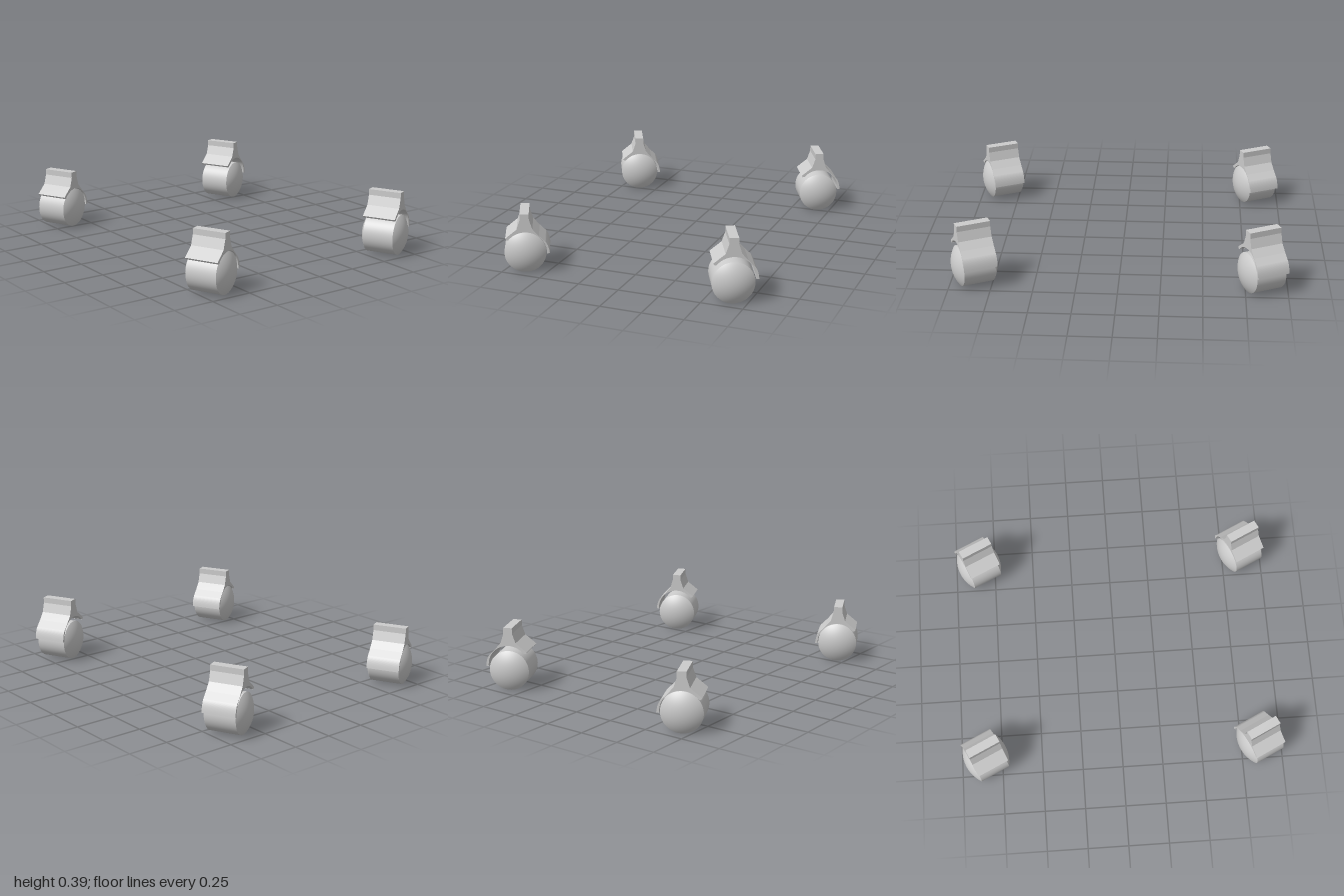
import * as THREE from 'three';

const R = 0.1225;      // wheel radius
const HALF = 0.095;    // half width of the tread
const BULGE = 0.04;    // how far the domed hub covers stand out
const HOOD = 0.102;    // half width of the hood
const TURN = THREE.MathUtils.degToRad(26);

// Wheel: smooth tread with a shallow dome at each end, axle along z
function makeWheel(material) {
  const wheel = new THREE.Group();
  wheel.name = 'wheel';
  const treadGeo = new THREE.CylinderGeometry(R, R, HALF * 2, 64, 1, true);
  treadGeo.rotateX(Math.PI / 2);
  const tread = new THREE.Mesh(treadGeo, material);
  tread.name = 'tread';
  wheel.add(tread);

  const dome = (R * R + BULGE * BULGE) / (2 * BULGE);
  const domeGeo = new THREE.SphereGeometry(dome, 64, 12, 0, Math.PI * 2, 0, Math.asin(R / dome));
  domeGeo.translate(0, HALF + BULGE - dome, 0);
  domeGeo.rotateX(Math.PI / 2);
  for (const side of [0, 1]) {
    const cap = new THREE.Mesh(domeGeo, material);
    cap.name = side ? 'backHubCover' : 'frontHubCover';
    cap.rotation.y = side * Math.PI;
    wheel.add(cap);
  }
  wheel.position.y = R;
  return wheel;
}

// Hood: flared mount with an arch hugging the wheel, longer on one side
function makeHoodGeometry() {
  const shape = new THREE.Shape();
  shape.moveTo(-0.027, 0.36);
  shape.lineTo(-0.027, 0.325);
  shape.lineTo(-0.047, 0.267);
  shape.lineTo(-0.115, 0.213);
  shape.lineTo(-0.108, 0.203);
  shape.lineTo(-0.096, 0.203);
  shape.absarc(0, R, 0.126, 2.44, -0.06, true);
  shape.lineTo(0.142, 0.115);
  shape.quadraticCurveTo(0.138, 0.165, 0.118, 0.188);
  shape.lineTo(0.082, 0.224);
  shape.lineTo(0.045, 0.267);
  shape.lineTo(0.027, 0.325);
  shape.lineTo(0.027, 0.36);
  shape.closePath();
  const geo = new THREE.ExtrudeGeometry(shape, { depth: HOOD * 2, bevelEnabled: false, curveSegments: 20 });
  geo.translate(0, 0, -HOOD);
  return geo;
}

export function createModel() {
  const grey = new THREE.MeshStandardMaterial({ color: 0xcccccc });
  grey.name = 'lightGrey';

  const model = new THREE.Group();
  model.name = 'casterSet';
  const hoodGeo = makeHoodGeometry();

  // Four casters all turned the same way; the left pair's hoods sit higher
  for (const [sideName, x, lift] of [['Left', 0.633, 0.03], ['Right', -0.659, 0]]) {
    for (const [endName, z] of [['front', 0.857], ['back', -0.844]]) {
      const caster = new THREE.Group();
      caster.name = endName + sideName + 'Caster';
      const hood = new THREE.Mesh(hoodGeo, grey);
      hood.name = 'hood';
      hood.position.y = lift;
      caster.add(makeWheel(grey), hood);
      caster.position.set(x, 0, z);
      caster.rotation.y = TURN;
      model.add(caster);
    }
  }
  return model;
}
